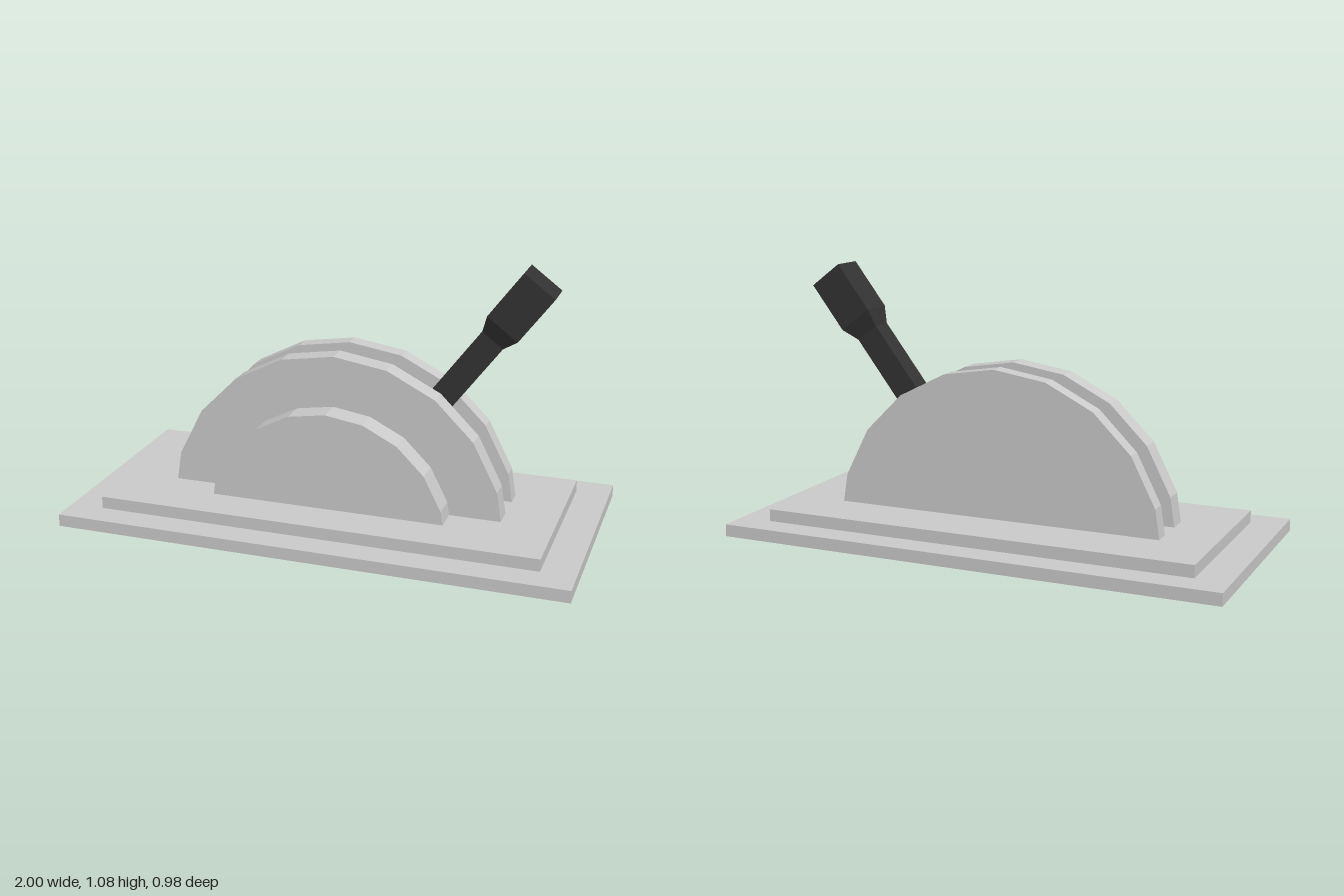
import * as THREE from 'three';

const FLOOR = 0.032; // underside of the base plate, also the pivot height

export function createModel() {
  const group = new THREE.Group();
  const grey = new THREE.MeshStandardMaterial({ color: 0xcccccc, flatShading: true });
  const dark = new THREE.MeshStandardMaterial({ color: 0x333333, flatShading: true });

  const add = (name, geometry, material) => {
    const mesh = new THREE.Mesh(geometry, material);
    mesh.name = name;
    group.add(mesh);
    return mesh;
  };

  // Stepped base
  const plate = (name, w, d, y0, y1) => {
    add(name, new THREE.BoxGeometry(w, y1 - y0, d), grey).position.y = (y0 + y1) / 2;
  };
  plate('basePlate', 2, 0.98, FLOOR, 0.08);
  plate('upperPlate', 1.736, 0.758, 0.08, 0.128);

  // Upright half discs, ten facets each, standing on the base
  const halfDisc = (name, radius, z0, z1) => {
    const points = [];
    for (let i = 0; i <= 10; i++) {
      const a = (i / 10) * Math.PI;
      points.push(new THREE.Vector2(Math.cos(a) * radius, Math.sin(a) * radius));
    }
    const geometry = new THREE.ExtrudeGeometry(new THREE.Shape(points), {
      depth: z1 - z0, bevelEnabled: false,
    });
    add(name, geometry, grey).position.set(0, FLOOR, z0);
  };
  halfDisc('frontDisc', 0.48, 0.113, 0.212);
  halfDisc('frontGuide', 0.68, 0.03, 0.113);
  halfDisc('middleDisc', 0.44, -0.083, 0.03);
  halfDisc('rearGuide', 0.68, -0.15, -0.083);

  // Lever: a bar that flares into a thicker grip; rows are [distance, half width, half depth]
  const rows = [[0, 0.05, 0.045], [0.973, 0.05, 0.045], [1.039, 0.0735, 0.068], [1.255, 0.0735, 0.068]];
  const bar = new THREE.BoxGeometry(2, 3, 2, 1, 3, 1);
  const pos = bar.attributes.position;
  for (let i = 0; i < pos.count; i++) {
    const [y, w, d] = rows[Math.round(pos.getY(i) + 1.5)];
    pos.setXYZ(i, pos.getX(i) * w, y, pos.getZ(i) * d);
  }
  bar.computeVertexNormals();
  const lever = add('lever', bar, dark);
  lever.position.set(0, 0.03, -0.029);
  lever.rotation.z = -Math.atan2(0.757, 1.001);

  return group;
}
